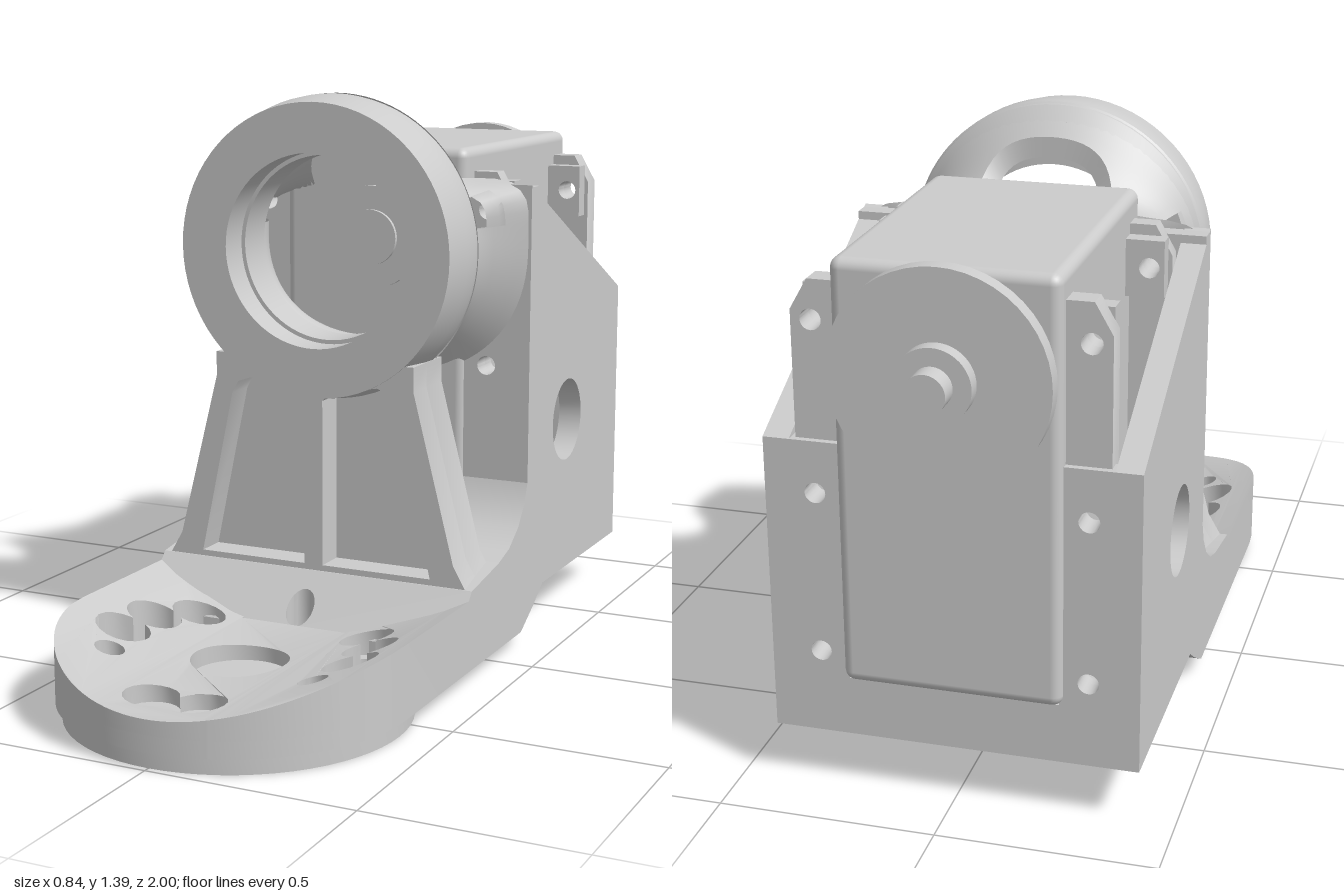
import * as THREE from 'three';
import { toCreasedNormals } from 'three/addons/utils/BufferGeometryUtils.js';
import { RoundedBoxGeometry } from 'three/addons/geometries/RoundedBoxGeometry.js';

const V = (x, y) => new THREE.Vector2(x, y);
const shapeOf = (pts, holes = []) => {
  const s = new THREE.Shape(pts.map(p => V(p[0], p[1])));
  s.holes = holes.map(h => new THREE.Path(h.map(p => V(p[0], p[1]))));
  return s;
};
const circle = (cx, cy, r, n = 32) =>
  Array.from({ length: n }, (_, i) => [cx + r * Math.cos(i / n * 2 * Math.PI), cy + r * Math.sin(i / n * 2 * Math.PI)]);
const rect = (x0, y0, x1, y1) => [[x0, y0], [x1, y0], [x1, y1], [x0, y1]];

// Outline of a chain of equal overlapping circles
function chain(centres, r) {
  const walk = [...centres, ...centres.slice(1, -1).reverse()], out = [], n = walk.length;
  walk.forEach((c, i) => {
    const edge = (o, sign) => Math.atan2(o[1] - c[1], o[0] - c[0]) +
      sign * Math.acos(Math.min(1, Math.hypot(o[0] - c[0], o[1] - c[1]) / 2 / r));
    const a = edge(walk[(i + n - 1) % n], 1);
    let b = edge(walk[(i + 1) % n], -1);
    while (b <= a) b += 2 * Math.PI;
    for (let k = 0; k < 16; k++) out.push([c[0] + r * Math.cos(a + (b - a) * k / 16), c[1] + r * Math.sin(a + (b - a) * k / 16)]);
  });
  return out;
}

export function createModel() {
  const model = new THREE.Group();
  const mat = new THREE.MeshStandardMaterial({ color: 0xcccccc });
  const thin = new THREE.MeshStandardMaterial({ color: 0xcccccc, side: THREE.DoubleSide });
  const add = (name, geo, m = mat) => {
    const mesh = new THREE.Mesh(geo, m);
    mesh.name = name;
    model.add(mesh);
    return mesh;
  };
  const extrude = (pts, holes, depth) =>
    new THREE.ExtrudeGeometry(shapeOf(pts, holes), { depth, bevelEnabled: false });
  // Upright plate facing z
  const plate = (name, pts, holes, z0, z1) =>
    add(name, toCreasedNormals(extrude(pts, holes, z1 - z0).translate(0, 0, z0), 0.6));
  // Side profile given as (z, y), spanning x0..x1
  const side = (name, pts, holes, x0, x1) =>
    add(name, toCreasedNormals(extrude(pts, holes, x1 - x0).rotateY(-Math.PI / 2).translate(x1, 0, 0), 0.6));
  // Plan shape given as (x, z), from y0 up to a height rule
  const plan = (name, pts, holes, y0, top) => {
    const g = extrude(pts, holes, 1).rotateX(Math.PI / 2), p = g.attributes.position;
    for (let i = 0; i < p.count; i++) p.setY(i, y0 + (p.getY(i) + 1) * (top(p.getX(i), p.getZ(i)) - y0));
    g.computeVertexNormals();
    add(name, toCreasedNormals(g, 0.6));
  };
  const axial = (name, r, z0, z1, y = 1.02) =>
    add(name, new THREE.CylinderGeometry(r, r, z1 - z0, 48).rotateX(Math.PI / 2).translate(0, y, (z0 + z1) / 2));

  // Foot: scooped top, round front, bolt holes with counterbores
  const scoop = x => 0.115 + 0.1 * (x / 0.42) ** 2, deck = () => 0.08;
  const band = (a, b, zBack) => {
    const pts = [[a, zBack], [b, zBack]];
    for (let i = 0; i <= 16; i++) {
      const x = b + (a - b) * i / 16, z = 0.58 + Math.sqrt(Math.max(0, 0.42 ** 2 - x * x));
      pts.push([x, z]);
    }
    return pts;
  };
  const trio = s => [[s * 0.225, 0.37], [s * 0.285, 0.48], [s * 0.295, 0.605]];
  const pair = [[-0.06, 0.87], [0.06, 0.87]];
  const bolt = c => circle(c[0], c[1], 0.035, 20);
  plan('footCentreLower', band(-0.14, 0.14, 0.31), pair.map(bolt), 0.04, deck);
  plan('footCentreUpper', band(-0.14, 0.14, 0.31), [chain(pair, 0.064), circle(0, 0.575, 0.115, 40)], 0.08, scoop);
  for (const s of [-1, 1]) {
    const lone = bolt([s * 0.26, 0.72]);
    const [a, b] = s < 0 ? [-0.37, -0.14] : [0.14, 0.37];
    plan('footSideLower', band(a, b, 0.2), [...trio(s).map(bolt), lone], 0.04, deck);
    plan('footSideUpper', band(a, b, 0.2), [chain(trio(s), 0.065), lone], 0.08, scoop);
    plan('footEdge', s < 0 ? band(-0.42, -0.37, 0.2) : band(0.37, 0.42, 0.2), [], 0.04, scoop);
  }
  plan('footRamp', rect(-0.42, 0.2, 0.42, 0.31), [bolt([0, 0.27])], 0.04, (x, z) => 0.235 - (z - 0.2) * 1.09);

  // Round base under the foot
  const bolts = [...trio(1), ...trio(-1), ...pair, [0.26, 0.72], [-0.26, 0.72], [0, 0.27]];
  plan('baseRim', circle(0, 0.58, 0.405, 64), [circle(0, 0.58, 0.38, 64)], 0, () => 0.045);
  plan('basePlate', circle(0, 0.58, 0.385, 64), bolts.map(bolt), 0.015, () => 0.045);

  // Bridge between foot and housing
  side('bridge', [[0.2, 0.04], [0.2, 0.235], [0.03, 0.26], [-0.04, 0.28], [-0.1, 0.32], [-0.14, 0.37], [-0.16, 0.42],
    [-0.2, 0.42], [-0.28, 0.13], [-0.22, 0.09], [-0.13, 0.04]], [], -0.42, 0.42);

  // Ribbed support under the ring
  const leg = [[-0.41, 0.22], [0.41, 0.22], [0.37, 0.29], [0.265, 0.7], [0.265, 0.76], [0.19, 0.76], [0, 0.74],
    [-0.19, 0.76], [-0.265, 0.76], [-0.265, 0.7], [-0.37, 0.29]];
  const pocket = s => [[0.025, 0.25], [0.31, 0.25], [0.222, 0.66], [0.205, 0.69], [0.17, 0.702], [0.1, 0.69],
    [0.04, 0.675], [0.025, 0.66]].map(([x, y]) => [s * x, y]);
  plate('supportPanel', leg, [], 0.03, 0.12);
  plate('supportRibs', leg, [pocket(1), pocket(-1)], 0.12, 0.198);

  // Front ring
  const profile = [[0.225, 0.02], [0.33, 0.02], [0.365, 0.05], [0.37, 0.08], [0.368, 0.12], [0.355, 0.2],
    [0.235, 0.2], [0.235, 0.12], [0.225, 0.12], [0.225, 0.02]].map(p => V(...p));
  add('ring', toCreasedNormals(new THREE.LatheGeometry(profile, 72).rotateX(Math.PI / 2).translate(0, 1.02, 0), 0.6), thin);

  // Neck shell: flares from the ring to the housing, arched open on top, with a side window
  const N = 96, M = 12, pos = [], idx = [];
  const radius = (a, t) => {
    const up = Math.sin(a) > 0, n = up ? 6 : 2.3;
    const end = (Math.abs(Math.cos(a) / 0.42) ** n + Math.abs(Math.sin(a) / (up ? 0.165 : 0.36)) ** n) ** (-1 / n);
    return (1 - t * t) * (0.37 - 0.13 * Math.min(1, t * 1.5)) + t * t * end;
  };
  for (let j = 0; j <= N; j++) {
    const a = j / N * 2 * Math.PI;
    const reach = 1 - 0.7 * THREE.MathUtils.smoothstep(Math.sin(a), 0.4, 1);
    for (let i = 0; i <= 2 * M + 1; i++) {
      const inner = i > M, t = reach * (inner ? 2 * M + 1 - i : i) / M;
      const r = radius(a, t) - (inner ? 0.05 : 0);
      pos.push(r * Math.cos(a), 1.02 + r * Math.sin(a), 0.06 - 0.225 * t);
    }
  }
  const row = 2 * M + 2;
  for (let j = 0; j < N; j++) for (let i = 0; i < row - 1; i++) {
    const tilt = Math.asin(Math.sin((j + 0.5) / N * 2 * Math.PI)), k = i > M ? row - 2 - i : i;
    if (tilt > 0.12 && tilt < 0.39 && k > 1 && k < M - 2) continue;
    const p = j * row + i, q = p + row;
    idx.push(p, p + 1, q, q, p + 1, q + 1);
  }
  const neck = new THREE.BufferGeometry();
  neck.setAttribute('position', new THREE.Float32BufferAttribute(pos, 3));
  neck.setIndex(idx);
  add('neck', toCreasedNormals(neck, 0.6), thin);

  // Housing: sloping side walls, floor with slots, end flanges with screw holes
  const wall = [[-0.16, 0.13], [-0.845, 0.13], [-0.845, 0.83], [-0.16, 1.165]];
  const slot = s => rect(s * 0.3, -0.48, s * 0.36, -0.32);
  plan('housingFloor', rect(-0.42, -0.845, 0.42, -0.2), [slot(1), slot(-1)], 0.13, () => 0.2);
  plate('housingBackSill', rect(-0.42, 0.13, 0.42, 0.27), [], -0.845, -0.8);
  const screws = (s, ys) => ys.map(y => circle(s * 0.305, y, 0.024, 20));
  for (const s of [-1, 1]) {
    side('housingWall', wall, [circle(-0.445, 0.53, 0.107, 40)], s < 0 ? -0.42 : 0.36, s < 0 ? -0.36 : 0.42);
    plate('housingFrontFlange', rect(s * 0.24, 0.3, s * 0.42, 1.16), screws(s, [0.71, 1.1]), -0.21, -0.16);
    plate('housingBackFlange', rect(s * 0.24, 0.2, s * 0.42, 0.83), screws(s, [0.33, 0.71]), -0.845, -0.8);
    // Motor mounting lugs and nut clips
    const lug = [[0.24, 0.25], [0.35, 0.25], [0.35, 1.12], [0.31, 1.19], [0.24, 1.19]].map(([x, y]) => [s * x, y]);
    plate('rearLug', lug, screws(s, [0.33, 0.71, 1.1]), -0.83, -0.775);
    plate('frontLug', lug, screws(s, [0.33, 0.71, 1.1]), -0.25, -0.205);
    for (const z of [-0.755, -0.27])
      plate('nutClip', rect(s * 0.25, 1.03, s * 0.34, 1.165), screws(s, [1.1]), z - 0.022, z + 0.022);
  }

  // Motor body, front boss, output disc and shaft
  add('motorBody', new RoundedBoxGeometry(0.5, 0.98, 0.715, 3, 0.025).translate(0, 0.76, -0.5075));
  axial('motorFrontBoss', 0.13, -0.16, -0.135);
  axial('motorFrontHub', 0.07, -0.14, -0.125);
  axial('outputCollar', 0.1, -0.88, -0.86);
  axial('outputDisc', 0.245, -0.915, -0.875);
  axial('shaftHub', 0.085, -0.95, -0.91);
  axial('shaftTip', 0.045, -1, -0.94);
  return model;
}
